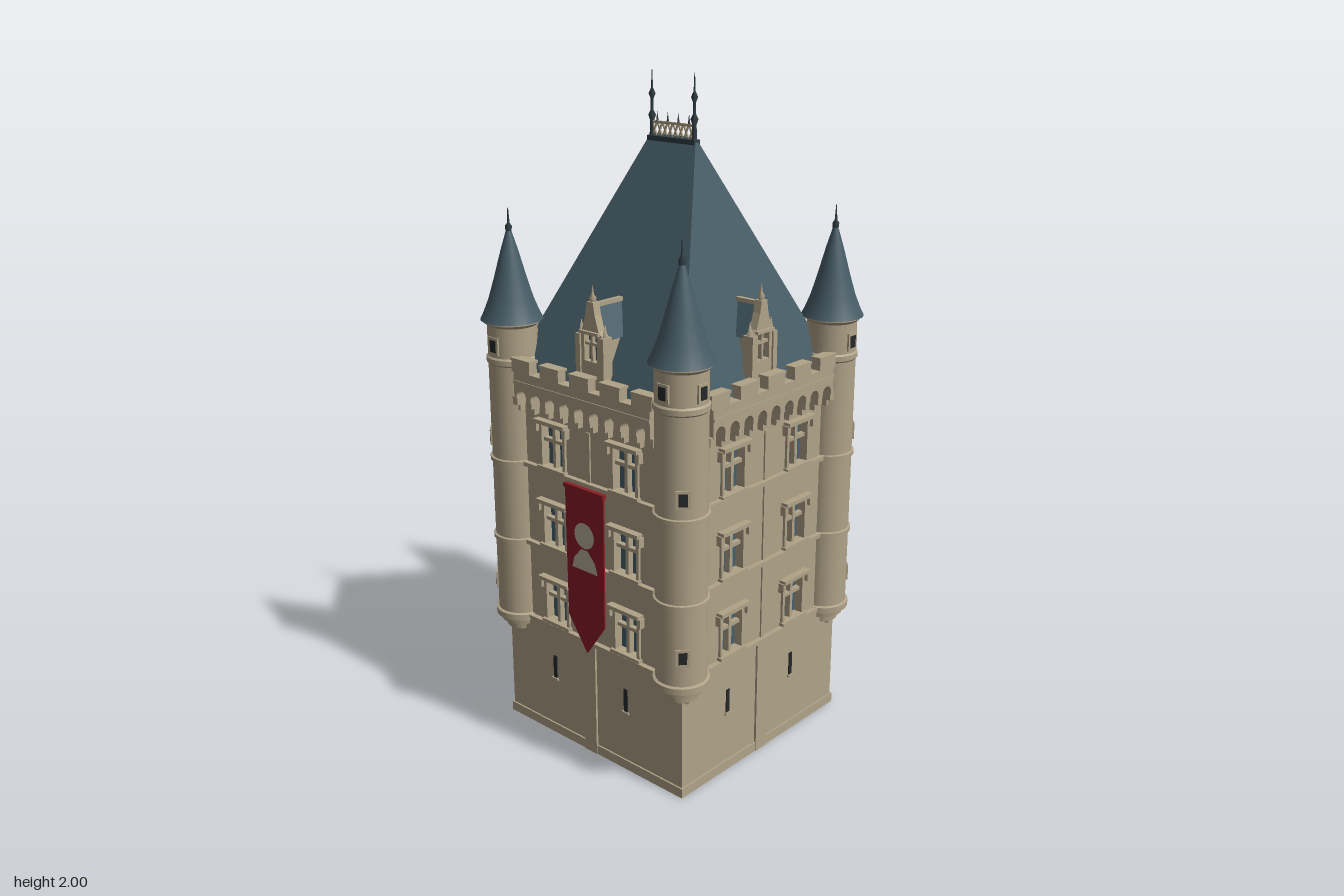
import * as THREE from 'three';

const mat = (name, color, side = THREE.FrontSide) => {
  const m = new THREE.MeshStandardMaterial({ color, side });
  m.name = name;
  return m;
};

export function createModel() {
  const stone = mat('stone', 0xb0a388);
  const slate = mat('slate', 0x465c66, THREE.DoubleSide);
  const glass = mat('glass', 0x45606e);
  const dark = mat('dark opening', 0x25282a);
  const red = mat('banner red', 0x8a1d24, THREE.DoubleSide);
  const pale = mat('emblem', 0xb8ae9c, THREE.DoubleSide);
  const iron = mat('iron', 0x2f3d44);
  const model = new THREE.Group();
  model.name = 'castleTower';

  const add = (parent, name, geo, material, x = 0, y = 0, z = 0) => {
    const m = new THREE.Mesh(geo, material);
    m.name = name;
    m.position.set(x, y, z);
    parent.add(m);
    return m;
  };
  const box = (p, name, m, w, h, d, x, y, z) => add(p, name, new THREE.BoxGeometry(w, h, d), m, x, y, z);
  const poly = (pts) => new THREE.Shape(pts.map(([x, y]) => new THREE.Vector2(x, y)));
  const rect = (x, y, w, h) => poly([[x - w / 2, y], [x + w / 2, y], [x + w / 2, y + h], [x - w / 2, y + h]]);
  const extrude = (shape, depth) => new THREE.ExtrudeGeometry(shape, { depth, bevelEnabled: false, curveSegments: 6 });
  const lathe = (pts, n = 24) => new THREE.LatheGeometry(pts.map(([r, y]) => new THREE.Vector2(r, y)), n);

  // solid base, plinth and wall walk
  box(model, 'base', stone, 0.72, 0.37, 0.72, 0, 0.185, 0);
  box(model, 'plinth', stone, 0.73, 0.03, 0.73, 0, 0.015, 0);
  box(model, 'wallWalk', stone, 0.73, 0.02, 0.73, 0, 1.145, 0);

  // hipped main roof with a short ridge
  const h = 0.336, y0 = 1.15, y1 = 1.825, r = 0.085;
  const A = [-h, y0, h], B = [h, y0, h], C = [h, y0, -h], D = [-h, y0, -h], L = [-r, y1, 0], R = [r, y1, 0];
  const hip = new THREE.BufferGeometry();
  hip.setAttribute('position', new THREE.Float32BufferAttribute(
    [A, B, R, A, R, L, B, C, R, C, D, L, C, L, R, D, A, L].flat(), 3));
  hip.computeVertexNormals();
  add(model, 'mainRoof', hip, slate);

  // ridge cresting: rails, lattice, spikes and two tall finials
  const crest = new THREE.Group();
  crest.name = 'ridgeCresting';
  model.add(crest);
  box(crest, 'ridgeCap', iron, 0.18, 0.014, 0.024, 0, 1.812, 0);
  box(crest, 'topRail', stone, 0.16, 0.007, 0.008, 0, 1.857, 0);
  for (let i = 0; i < 8; i++) {
    const x = -0.07 + i * 0.02;
    for (const s of [-1, 1])
      box(crest, 'lattice', stone, 0.004, 0.046, 0.005, x, 1.837, 0).rotation.z = s * 0.42;
    if (i % 2) add(crest, 'spike', new THREE.ConeGeometry(0.004, 0.03, 5), iron, x - 0.01, 1.873, 0);
  }
  for (const s of [-1, 1])
    add(crest, 'ridgeFinial', lathe([[0.008, 1.8], [0.006, 1.86], [0.011, 1.875], [0.004, 1.89], [0.004, 1.92],
      [0.01, 1.935], [0.003, 1.95], [0.001, 2]], 8), iron, s * 0.08);

  // one window: recessed glass, cross bars, frame, sill and hood
  const winW = 0.09, winH = 0.13, rows = [0.385, 0.635, 0.885], cols = [-0.145, 0.145];
  const addWindow = (p, x, y) => {
    const g = new THREE.Group();
    g.name = 'window';
    g.position.set(x, y, 0.355);
    p.add(g);
    box(g, 'pane', glass, winW, winH, 0.005, 0, winH / 2, -0.025);
    box(g, 'mullion', stone, 0.012, winH, 0.018, 0, winH / 2, -0.01);
    box(g, 'transom', stone, winW, 0.011, 0.016, 0, 0.082, -0.01);
    box(g, 'sill', stone, 0.115, 0.01, 0.022, 0, -0.003, 0.005);
    box(g, 'hood', stone, 0.125, 0.012, 0.03, 0, winH + 0.01, 0.008);
    for (const s of [-1, 1]) {
      box(g, 'jamb', stone, 0.01, winH, 0.016, s * 0.048, winH / 2, 0);
      box(g, 'hoodStop', stone, 0.014, 0.03, 0.026, s * 0.06, winH - 0.008, 0.006);
    }
  };

  const dormer = (p) => {
    const g = new THREE.Group();
    g.name = 'dormer';
    p.add(g);
    const face = poly([[-0.048, 1.15], [0.048, 1.15], [0.048, 1.31], [0.032, 1.325], [0.018, 1.37], [0.012, 1.405],
      [-0.012, 1.405], [-0.018, 1.37], [-0.032, 1.325], [-0.048, 1.31]]);
    face.holes.push(rect(0, 1.235, 0.05, 0.075));
    add(g, 'gable', extrude(face, 0.025), stone, 0, 0, 0.315);
    box(g, 'dormerPane', glass, 0.055, 0.08, 0.004, 0, 1.272, 0.318);
    box(g, 'dormerMullion', stone, 0.008, 0.075, 0.012, 0, 1.272, 0.33);
    box(g, 'dormerTransom', stone, 0.05, 0.008, 0.012, 0, 1.285, 0.33);
    box(g, 'dormerHood', stone, 0.075, 0.009, 0.012, 0, 1.318, 0.343);
    box(g, 'cheeks', stone, 0.08, 0.16, 0.1, 0, 1.23, 0.265);
    add(g, 'dormerRoof', extrude(poly([[-0.05, 1.3], [0.05, 1.3], [0, 1.395]]), 0.125), slate, 0, 0, 0.19);
    box(g, 'dormerRidge', stone, 0.014, 0.012, 0.11, 0, 1.394, 0.272);
    add(g, 'gableFinial', lathe([[0.006, 1.4], [0.011, 1.415], [0.004, 1.425], [0.001, 1.45]], 8), stone, 0, 0, 0.328);
    for (const s of [-1, 1]) {
      box(g, 'pier', stone, 0.018, 0.16, 0.035, s * 0.046, 1.23, 0.328);
      add(g, 'pinnacle', new THREE.ConeGeometry(0.011, 0.04, 4), stone, s * 0.046, 1.33, 0.328);
    }
  };

  const buildSide = () => {
    const side = new THREE.Group();
    side.name = 'wallSide';
    // pierced wall with six windows
    const wall = rect(0, 0.37, 0.68, 0.77);
    for (const x of cols) for (const y of rows) wall.holes.push(rect(x, y, winW, winH));
    add(side, 'wall', extrude(wall, 0.03), stone, 0, 0, 0.325);
    for (const x of cols) for (const y of rows) addWindow(side, x, y);
    for (const y of [0.37, 0.622, 0.874]) box(side, 'stringCourse', stone, 0.56, 0.013, 0.03, 0, y, 0.356);
    // base strip and arrow slits
    box(side, 'baseStrip', stone, 0.05, 0.37, 0.014, -0.005, 0.185, 0.36);
    box(side, 'wallStrip', stone, 0.014, 0.66, 0.01, 0, 0.7, 0.355);
    for (const x of [-0.16, 0.14]) {
      box(side, 'arrowSlit', dark, 0.014, 0.075, 0.006, x, 0.23, 0.36);
      box(side, 'slitSill', stone, 0.026, 0.007, 0.012, x, 0.19, 0.361);
    }
    // projecting parapet with an arched lower edge on corbels
    const n = 9, step = 0.06, x0 = -n * step / 2;
    const band = new THREE.Shape();
    band.moveTo(x0, 1.165);
    band.lineTo(x0, 1.08);
    for (let i = 0; i < n; i++) {
      const cx = x0 + (i + 0.5) * step;
      band.lineTo(cx - 0.02, 1.08);
      band.absarc(cx, 1.09, 0.02, Math.PI, 0, true);
      band.lineTo(cx + 0.02, 1.08);
    }
    band.lineTo(-x0, 1.08);
    band.lineTo(-x0, 1.165);
    add(side, 'parapet', extrude(band, 0.03), stone, 0, 0, 0.36);
    box(side, 'parapetLedge', stone, 0.54, 0.01, 0.04, 0, 1.133, 0.373);
    for (let i = 0; i <= n; i++) {
      const x = x0 + i * step;
      box(side, 'corbelUpper', stone, 0.02, 0.025, 0.04, x, 1.073, 0.368);
      box(side, 'corbelLower', stone, 0.016, 0.022, 0.025, x, 1.052, 0.362);
    }
    for (let i = -2; i <= 2; i++) {
      box(side, 'merlon', stone, 0.075, 0.035, 0.03, i * 0.12, 1.18, 0.375);
      box(side, 'merlonCap', stone, 0.08, 0.008, 0.035, i * 0.12, 1.2, 0.374);
    }
    dormer(side);
    return side;
  };

  const buildTurret = () => {
    const t = new THREE.Group();
    t.name = 'cornerTurret';
    const profile = [[0, 0.285], [0.025, 0.29], [0.035, 0.31], [0.05, 0.315], [0.052, 0.332], [0.066, 0.338],
      [0.068, 0.352], [0.082, 0.358], [0.082, 0.377], [0.074, 0.38]];
    for (const y of [0.622, 0.874]) profile.push([0.074, y - 0.008], [0.08, y - 0.006], [0.08, y + 0.006], [0.074, y + 0.008]);
    profile.push([0.074, 1.17], [0.079, 1.175], [0.079, 1.19], [0.074, 1.195], [0.074, 1.285], [0.086, 1.295], [0.086, 1.31]);
    // each straight run is its own ring so the edges stay sharp
    for (let i = 1; i < profile.length; i++) add(t, 'turretShaft', lathe([profile[i - 1], profile[i]]), stone);
    add(t, 'turretRoof', lathe([[0, 1.3], [0.092, 1.3]]), slate);
    add(t, 'turretRoof', lathe([[0.092, 1.3], [0.082, 1.32], [0.066, 1.36], [0.048, 1.42], [0.026, 1.5], [0.006, 1.565]]), slate);
    add(t, 'turretFinial', lathe([[0.008, 1.55], [0.01, 1.572], [0.004, 1.58], [0.001, 1.625]], 8), iron);
    // small openings: upper ones face the walls, lower ones the diagonal
    const opening = (angle, y, w, hh) => {
      const g = new THREE.Group();
      g.name = 'turretOpening';
      g.rotation.y = angle;
      t.add(g);
      box(g, 'surround', stone, w + 0.016, hh + 0.016, 0.02, 0, y, 0.067);
      box(g, 'hole', dark, w, hh, 0.006, 0, y, 0.0755);
    };
    for (const a of [0, Math.PI / 2]) opening(a, 1.23, 0.024, 0.036);
    for (const y of [0.47, 0.94]) opening(Math.PI / 4, y, 0.024, 0.036);
    t.position.set(0.333, 0, 0.333);
    return t;
  };

  // repeat wall and turret around the square
  for (let k = 0; k < 4; k++) {
    const quarter = new THREE.Group();
    quarter.name = 'quarter';
    quarter.add(buildSide(), buildTurret());
    quarter.rotation.y = k * Math.PI / 2;
    model.add(quarter);
  }

  // front banner with a simple round-and-wedge device
  const banner = new THREE.Group();
  banner.name = 'banner';
  model.add(banner);
  add(banner, 'cloth', extrude(poly([[-0.075, 0.86], [-0.072, 0.45], [0.002, 0.345], [0.076, 0.45], [0.08, 0.86]]), 0.005), red, 0, 0, 0.376);
  box(banner, 'rod', red, 0.16, 0.012, 0.014, 0.002, 0.862, 0.378);
  add(banner, 'disc', new THREE.CircleGeometry(0.04, 20), pale, 0.002, 0.722, 0.383);
  add(banner, 'wedge', new THREE.ShapeGeometry(poly([[-0.05, 0.612], [0.054, 0.612], [0.045, 0.645], [0.015, 0.678],
    [-0.011, 0.678], [-0.041, 0.645]])), pale, 0, 0, 0.383);
  return model;
}
